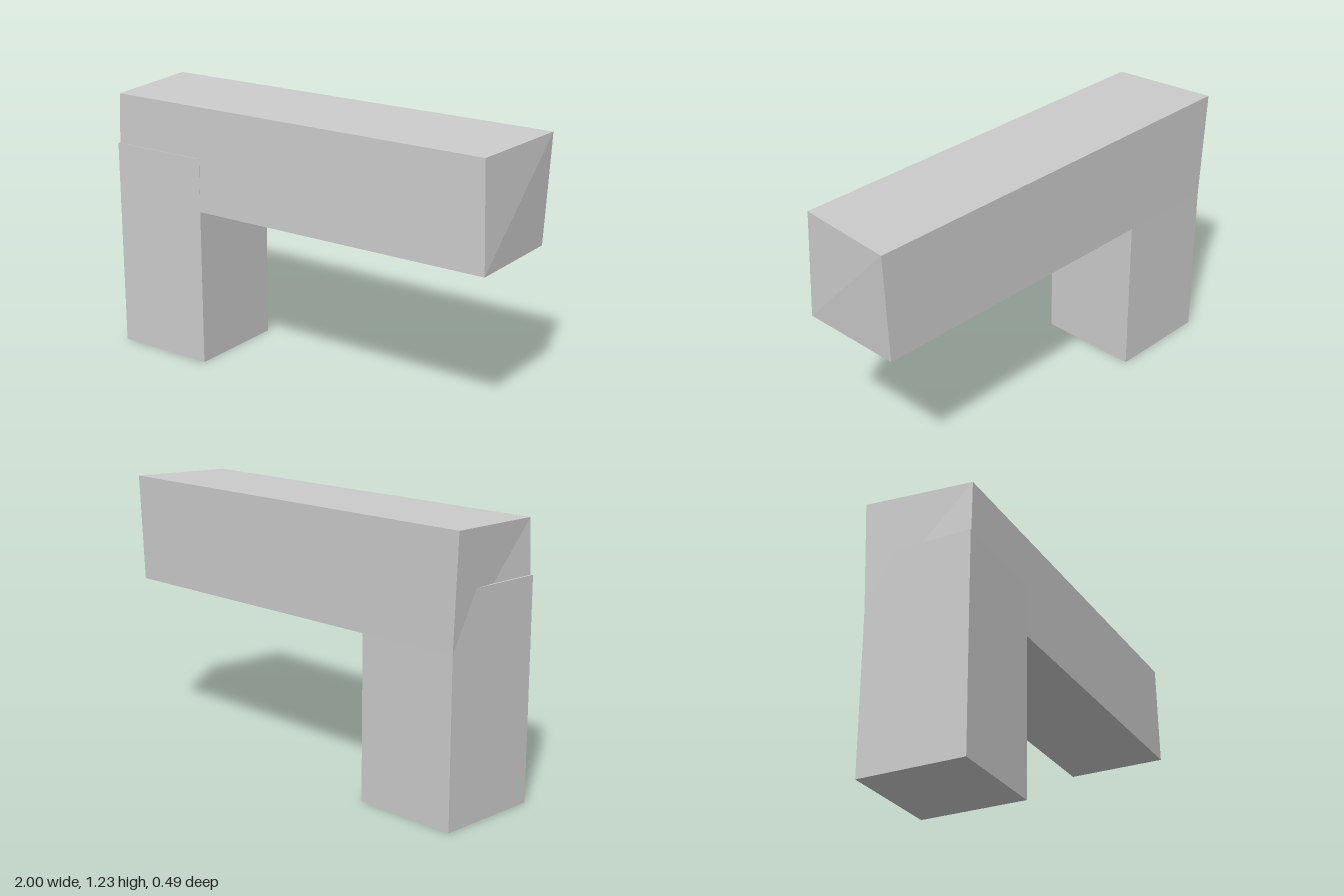
import * as THREE from 'three';

const material = new THREE.MeshStandardMaterial({ color: 0xcccccc, flatShading: true });

function addBox(group, name, size, position) {
  const mesh = new THREE.Mesh(new THREE.BoxGeometry(...size), material);
  mesh.name = name;
  mesh.position.set(...position);
  group.add(mesh);
  return mesh;
}

export function createModel() {
  const group = new THREE.Group();
  group.name = 'bracket';

  // Upright post under the right end
  addBox(group, 'post', [0.488, 0.983, 0.486], [-0.733, 0.4915, 0.002]);

  // Crossbeam: its top flares out at the back and narrows at the front
  const beam = addBox(group, 'beam', [1.954, 0.49, 0.486], [0, 0.98, 0.002]);
  const p = beam.geometry.attributes.position;
  for (let i = 0; i < p.count; i++) {
    if (p.getY(i) < 0) continue;
    const back = p.getZ(i) < 0;
    p.setX(i, Math.sign(p.getX(i)) * (back ? 1 : 0.958));
    p.setY(i, back ? 0.25 : 0.239);
    p.setZ(i, back ? -0.247 : 0.238);
  }
  beam.geometry.computeVertexNormals();

  return group;
}
